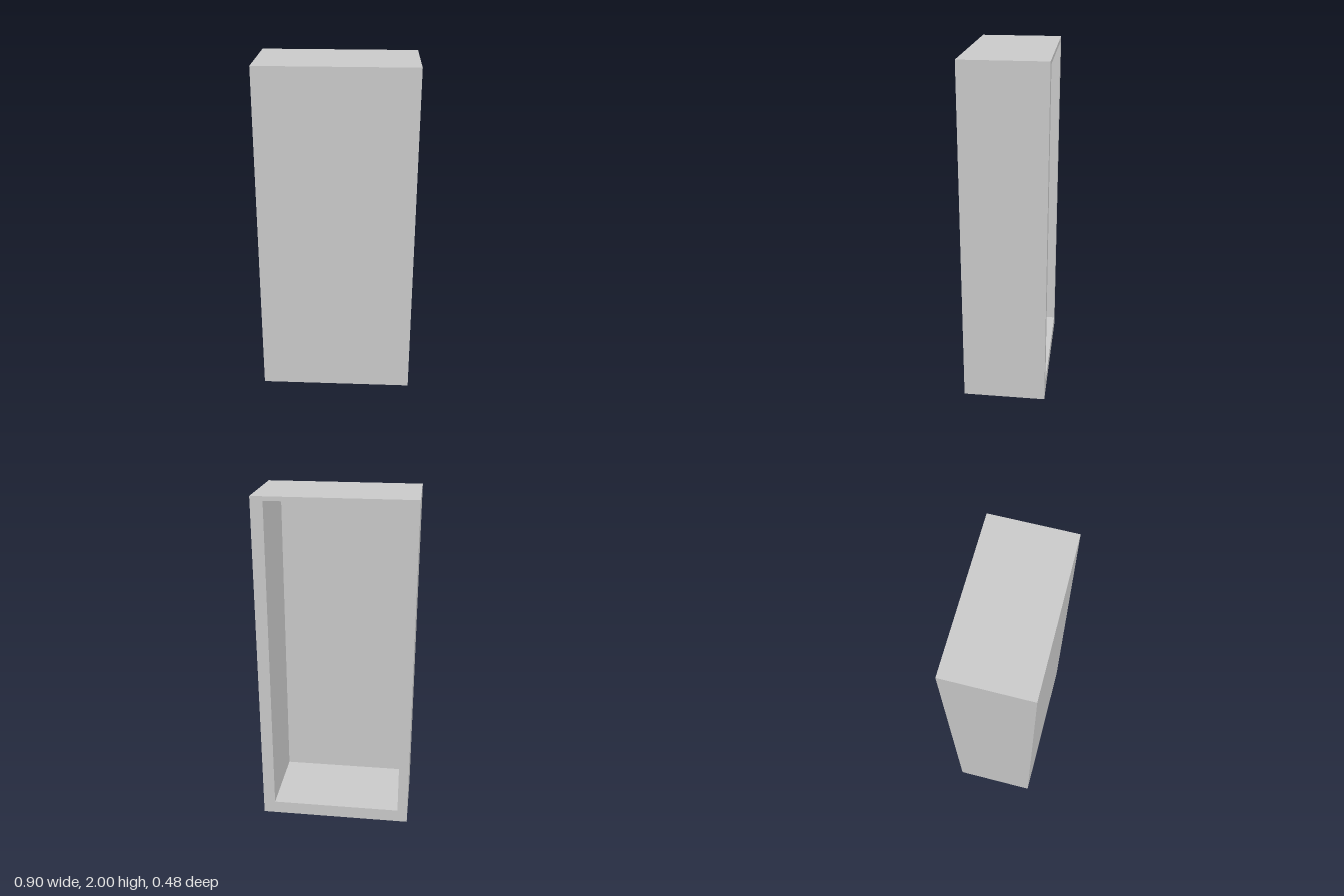
import * as THREE from 'three';

const W = 0.904, H = 2, D = 0.482, PANEL = 0.002;
// wall thicknesses of the frame
const LEFT = 0.071, RIGHT = 0.06, TOP = 0.024, BOTTOM = 0.078;

function rectangle(PathType, x0, y0, x1, y1) {
  return new PathType([[x0, y0], [x1, y0], [x1, y1], [x0, y1]].map(p => new THREE.Vector2(...p)));
}

export function createModel() {
  const group = new THREE.Group();
  group.name = 'openBackCase';
  const material = new THREE.MeshStandardMaterial({ color: 0xcccccc });

  // surrounding walls, open at the back
  const outline = rectangle(THREE.Shape, -W / 2, 0, W / 2, H);
  outline.holes.push(rectangle(THREE.Path, -W / 2 + RIGHT, BOTTOM, W / 2 - LEFT, H - TOP));
  const frameGeometry = new THREE.ExtrudeGeometry(outline, { depth: D - PANEL, bevelEnabled: false });
  const frame = new THREE.Mesh(frameGeometry, material);
  frame.name = 'frame';
  frame.position.z = -D / 2;
  group.add(frame);

  // thin sheet closing the front
  const panel = new THREE.Mesh(new THREE.BoxGeometry(W, H, PANEL), material);
  panel.name = 'frontPanel';
  panel.position.set(0, H / 2, D / 2 - PANEL / 2);
  group.add(panel);

  return group;
}
